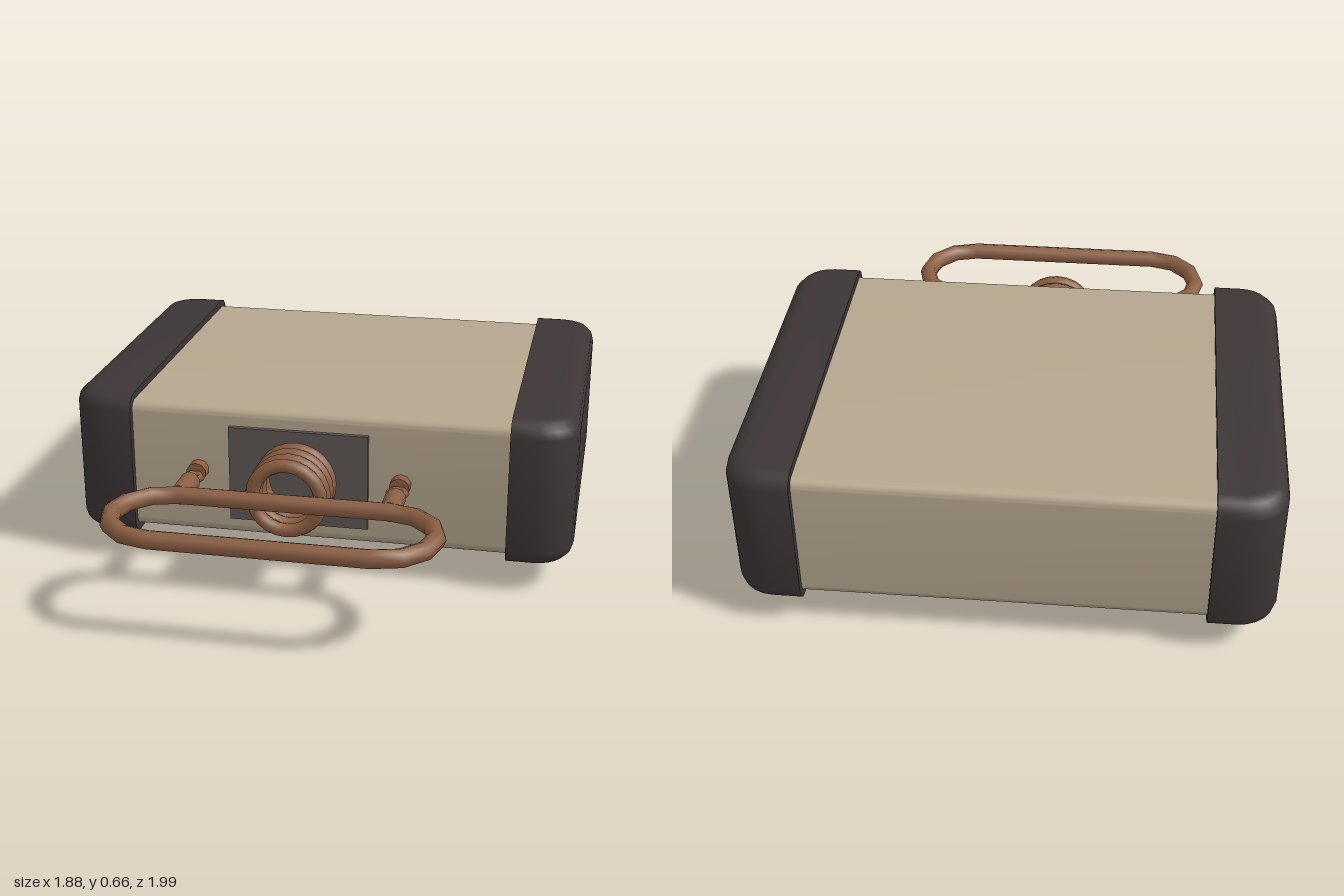
import * as THREE from 'three';
import { toCreasedNormals } from 'three/addons/utils/BufferGeometryUtils.js';

const mat = (name, color) => Object.assign(new THREE.MeshStandardMaterial({ color }), { name });

// Rounded rectangle centred on (cx, cy)
function roundedRect(cx, cy, w, h, r) {
  const s = new THREE.Shape(), a = w / 2 - r, b = h / 2 - r, q = Math.PI / 2;
  [[a, b], [-a, b], [-a, -b], [a, -b]].forEach(([x, y], i) =>
    s.absarc(cx + x, cy + y, r, i * q, (i + 1) * q, false));
  return s;
}

// Closed stadium path lying flat, with faceted half-round ends
class LoopCurve extends THREE.Curve {
  getPoint(t, target = new THREE.Vector3()) {
    const i = (t * 14) % 14, side = i < 7 ? 1 : -1, k = i % 7, r = 0.19, half = 0.38;
    if (k <= 6) {
      const a = (k / 6) * Math.PI;
      return target.set(side * (half + r * Math.sin(a)), 0, side * r * Math.cos(a));
    }
    return target.set(side * half * (1 - 2 * (k - 6)), 0, -side * r);
  }
  getPointAt(t, target) { return this.getPoint(t, target); }
  getTangentAt(t, target) { return this.getTangent(t, target); }
}

export function createModel() {
  const group = new THREE.Group();
  const beige = mat('beige casing', 0xb5a68e), dark = mat('dark rubber', 0x3d3536);
  const copper = mat('copper', 0x8b5e43), grey = mat('grey plate', 0x5f5855);
  const ledGreen = mat('led green', 0x18c434), black = mat('black', 0x1c1a1a);
  const cream = mat('meter face', 0xc0b8a6), yellow = mat('label yellow', 0xc4a01c);
  const red = mat('meter red', 0xa04434), green = mat('meter green', 0x189a44);

  const add = (name, geo, material, x = 0, y = 0, z = 0, parent = group) => {
    const m = new THREE.Mesh(geo, material);
    m.name = name;
    m.position.set(x, y, z);
    parent.add(m);
    return m;
  };
  const midZ = -0.3225, midY = 0.3825;

  // Casing: rounded section run along x
  const casing = new THREE.ExtrudeGeometry(roundedRect(0, 0, 1.3, 0.5, 0.035),
    { depth: 1.44, bevelEnabled: false, curveSegments: 4 });
  casing.translate(0, 0, -0.72).rotateY(Math.PI / 2);
  add('casing', toCreasedNormals(casing, 0.7), beige, 0, midY, midZ);

  // End caps: rounded blocks with a flat inner side
  const capGeo = new THREE.ExtrudeGeometry(roundedRect(0.78, 0, 0.32, 1.355, 0.14), {
    depth: 0.435, bevelSize: 0.06, bevelThickness: 0.06, bevelOffset: -0.06,
    bevelSegments: 3, curveSegments: 3 });
  capGeo.translate(0, 0, -0.2175).rotateX(Math.PI / 2);
  // Square off the inner side at x = 0.7
  const p = capGeo.attributes.position;
  for (let i = 0; i < p.count; i++) {
    if (p.getX(i) < 0.79) {
      p.setX(i, 0.7);
      if (Math.abs(p.getZ(i)) > 0.5) {
        const drop = Math.max(0, Math.abs(p.getY(i)) - 0.2175) / 0.06;
        p.setZ(i, Math.sign(p.getZ(i)) * (0.6775 - 0.06 * (1 - Math.sqrt(Math.max(0, 1 - drop * drop)))));
      }
    }
  }
  const cap = toCreasedNormals(capGeo, 0.75);
  add('leftEndCap', cap, dark, 0, midY, midZ);
  add('rightEndCap', cap, dark, 0, midY, midZ).rotation.y = Math.PI;

  // Front plate and coil
  const cx = -0.07, cy = 0.385;
  add('coilPlate', new THREE.BoxGeometry(0.52, 0.365, 0.02), grey, cx, 0.3825, 0.335);
  for (const z of [0.375, 0.428, 0.481, 0.534])
    add('coilRing', new THREE.TorusGeometry(0.125, 0.026, 8, 24), copper, cx, cy, z);

  // Loop handle
  add('loop', new THREE.TubeGeometry(new LoopCurve(), 14, 0.034, 8, true), copper, cx, cy, 0.77);

  // Two posts, each with a base, an eyelet and a sleeve
  const rod = (len) => new THREE.CylinderGeometry(0.038, 0.038, len, 10).rotateX(Math.PI / 2);
  for (const side of [-1, 1]) {
    const post = new THREE.Group();
    post.name = 'post';
    post.position.set(cx + side * 0.38, cy, 0);
    add('postBase', rod(0.045), copper, 0, 0, 0.347, post);
    add('postEyelet', new THREE.TorusGeometry(0.031, 0.013, 6, 6).rotateX(Math.PI / 2), copper, 0, 0, 0.41, post);
    add('postSleeve', rod(0.13), copper, 0, 0, 0.515, post);
    group.add(post);
  }

  // Arc drawn on the control face, facing down
  const arc = (r0, r1, start, len) => new THREE.RingGeometry(r0, r1, 24, 1,
    THREE.MathUtils.degToRad(start), THREE.MathUtils.degToRad(len)).rotateX(Math.PI / 2);

  // Fluted, tapered knobs
  const knobGeo = new THREE.CylinderGeometry(0.14, 0.11, 0.135, 48, 1);
  const k = knobGeo.attributes.position;
  for (let i = 0; i < k.count; i++) {
    const a = Math.atan2(k.getZ(i), k.getX(i));
    const f = Math.cos(a * 12) < -0.5 ? 0.93 : 1;
    k.setXYZ(i, k.getX(i) * f, k.getY(i), k.getZ(i) * f);
  }
  const knob = toCreasedNormals(knobGeo, 0.4);
  for (const z of [-0.14, -0.63]) {
    add('knob', knob, dark, 0.46, 0.0675, z);
    add('knobScale', arc(0.165, 0.18, 135, 270), black, 0.46, 0.129, z);
  }

  // Indicator lights: a row of five and a row of three
  const lights = [0, 1, 2, 3, 4].map((i) => [0.015 - i * 0.129, -0.73])
    .concat([0, 2, 4].map((i) => [0.015 - i * 0.129, -0.53]));
  for (const [x, z] of lights) {
    add('light', new THREE.SphereGeometry(0.032, 14, 10), ledGreen, x, 0.111, z);
    add('lightCollar', new THREE.CylinderGeometry(0.04, 0.04, 0.012, 14), black, x, 0.13, z);
  }

  // Meter: frame, face and coloured scale
  add('meterFrame', new THREE.BoxGeometry(0.69, 0.006, 0.45), black, -0.255, 0.131, -0.115);
  add('meterFace', new THREE.BoxGeometry(0.67, 0.008, 0.43), cream, -0.25, 0.128, -0.12);
  [[red, 49], [yellow, 76.5], [green, 104]].forEach(([m, start]) =>
    add('meterScale', arc(0.35, 0.378, start, 27), m, -0.22, 0.122, -0.435));

  // Yellow label plate near the front edge
  add('labelPlate', new THREE.BoxGeometry(0.53, 0.008, 0.095), yellow, -0.33, 0.129, 0.203);
  return group;
}
